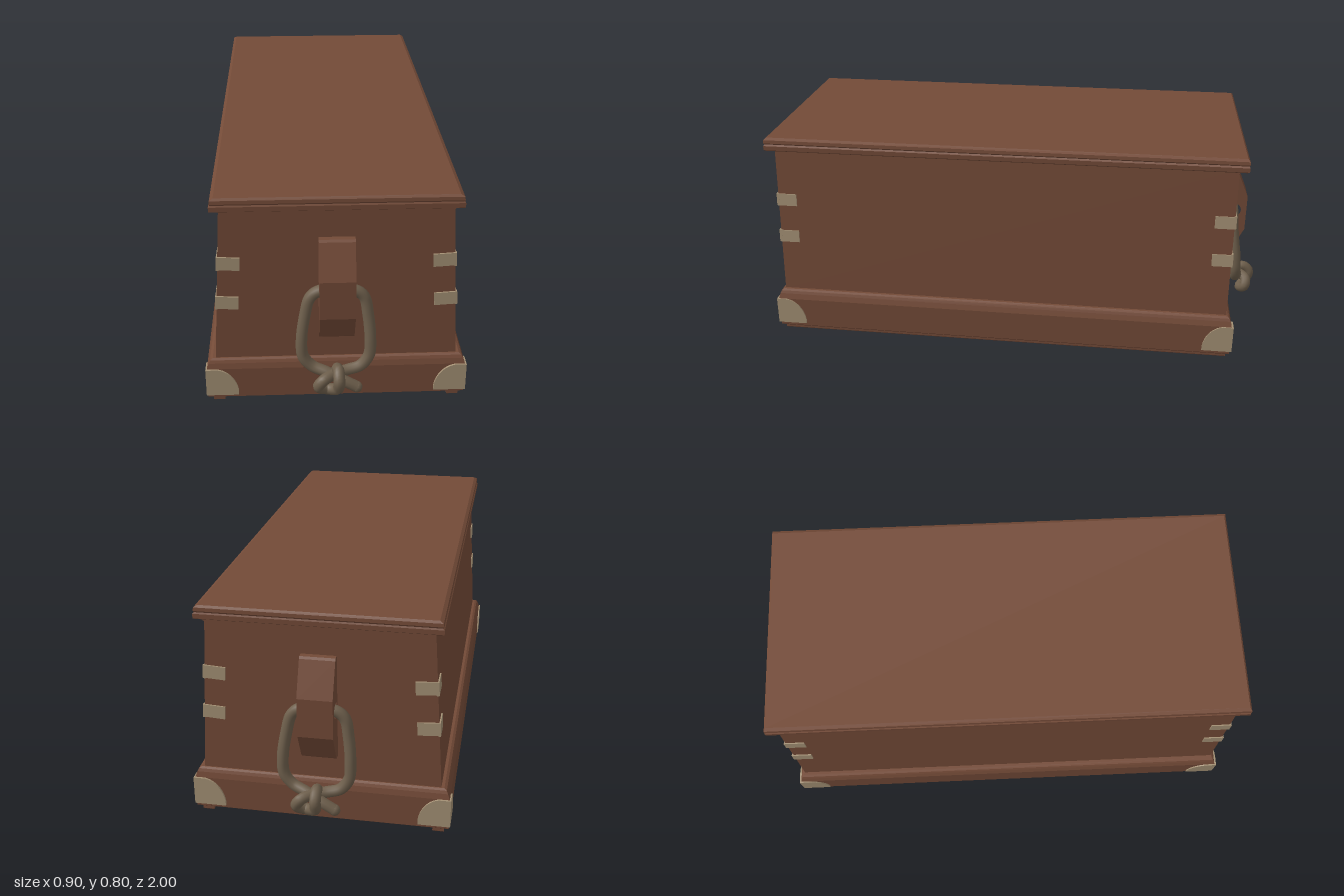
import * as THREE from 'three';

const wood = new THREE.MeshStandardMaterial({ name: 'reddish wood', color: 0x734a37 });
const brass = new THREE.MeshStandardMaterial({ name: 'dull brass', color: 0xa39074 });
const hemp = new THREE.MeshStandardMaterial({ name: 'brown rope', color: 0x6e5f4c });

// Stack of rectangular sections [halfX, y, halfZ], closed at both ends
function loft(sections) {
  const pos = [];
  const rings = sections.map(([x, y, z]) => [[x, y, z], [x, y, -z], [-x, y, -z], [-x, y, z]]);
  const quad = (a, b, c, d) => pos.push(...a, ...b, ...c, ...a, ...c, ...d);
  for (let i = 0; i < rings.length - 1; i++) {
    const lo = rings[i], hi = rings[i + 1];
    for (let k = 0; k < 4; k++) {
      const n = (k + 1) % 4;
      quad(lo[k], lo[n], hi[n], hi[k]);
    }
  }
  const bottom = rings[0], top = rings[rings.length - 1];
  quad(bottom[3], bottom[2], bottom[1], bottom[0]);
  quad(...top);
  const g = new THREE.BufferGeometry();
  g.setAttribute('position', new THREE.Float32BufferAttribute(pos, 3));
  g.computeVertexNormals();
  return g;
}

function add(parent, name, geometry, material, x = 0, y = 0, z = 0) {
  const mesh = new THREE.Mesh(geometry, material);
  mesh.name = name;
  mesh.position.set(x, y, z);
  parent.add(mesh);
  return mesh;
}

function polygon(points) {
  return new THREE.Shape(points.map(([x, y]) => new THREE.Vector2(x, y)));
}

const extrude = (shape, depth) =>
  new THREE.ExtrudeGeometry(shape, { depth, bevelEnabled: false, curveSegments: 10 });

// Rounded quarter plate growing from the corner towards s * x
function cornerPlate(s) {
  const shape = new THREE.Shape();
  shape.moveTo(0, 0);
  shape.lineTo(s * 0.112, 0);
  shape.lineTo(s * 0.112, 0.018);
  shape.bezierCurveTo(s * 0.105, 0.065, s * 0.075, 0.098, s * 0.04, 0.104);
  shape.lineTo(0, 0.104);
  shape.closePath();
  return extrude(shape, 0.009);
}

// Half width of the tapered body at height y
const SLOPE = 0.035 / 0.57;
const halfWidth = (y) => 0.415 - SLOPE * (y - 0.175);

function makeHandle() {
  const handle = new THREE.Group();
  handle.name = 'handle';

  // Wooden bracket with a hole for the rope
  const side = polygon([
    [0.85, 0.637], [0.878, 0.637], [0.885, 0.63], [0.937, 0.51],
    [0.937, 0.37], [0.888, 0.272], [0.88, 0.265], [0.85, 0.265],
  ]);
  const hole = new THREE.Path();
  hole.absarc(0.888, 0.452, 0.028, 0, Math.PI * 2, true);
  side.holes.push(hole);
  add(handle, 'handleBracket', extrude(side, 0.12), wood, 0.06).rotation.y = -Math.PI / 2;

  // Rope loop, tied below in a knot
  const points = [
    [0.065, 0.108, 0.952], [0.015, 0.135, 0.948], [-0.035, 0.155, 0.93], [-0.085, 0.172, 0.915],
    [-0.115, 0.21, 0.912], [-0.12, 0.27, 0.907], [-0.108, 0.36, 0.893], [-0.09, 0.425, 0.886],
    [-0.06, 0.45, 0.886], [0, 0.452, 0.888], [0.06, 0.45, 0.886], [0.09, 0.425, 0.886],
    [0.104, 0.36, 0.893], [0.112, 0.27, 0.907], [0.108, 0.21, 0.912], [0.08, 0.17, 0.915],
    [0.035, 0.155, 0.918], [-0.01, 0.152, 0.935], [-0.05, 0.143, 0.963], [-0.065, 0.117, 0.96],
    [-0.035, 0.098, 0.945], [0, 0.112, 0.966], [0.004, 0.15, 0.98], [0.003, 0.175, 0.955],
    [0, 0.165, 0.925],
  ].map((p) => new THREE.Vector3(...p));
  const curve = new THREE.CatmullRomCurve3(points);
  add(handle, 'ropeLoop', new THREE.TubeGeometry(curve, 180, 0.02, 10, false), hemp);
  for (const p of [points[0], points[points.length - 1]]) {
    add(handle, 'ropeEnd', new THREE.SphereGeometry(0.02, 10, 8), hemp, p.x, p.y, p.z);
  }
  return handle;
}

function makeEnd() {
  const end = new THREE.Group();
  end.add(makeHandle());

  // Shallow triangular board under the lid
  const gable = polygon([[-0.385, 0.75], [-0.375, 0.742], [-0.015, 0.683], [0.02, 0.683], [0.375, 0.742], [0.385, 0.75]]);
  add(end, 'gableBoard', extrude(gable, 0.035), wood, 0, 0, 0.85);

  for (const s of [-1, 1]) {
    // Straps folded around the upright corners
    for (const y of [0.545, 0.396]) {
      const x = halfWidth(y);
      const front = add(end, 'strapEnd', new THREE.BoxGeometry(0.078, 0.047, 0.009), brass, s * (x - 0.034), y, 0.859);
      const flank = add(end, 'strapSide', new THREE.BoxGeometry(0.009, 0.047, 0.077), brass, s * x, y, 0.825);
      front.rotation.z = flank.rotation.z = s * Math.atan(SLOPE);
    }
    // Corner guards on the base
    add(end, 'cornerGuardEnd', cornerPlate(-s), brass, s * 0.451, 0.036, 0.877);
    const guard = add(end, 'cornerGuardSide', cornerPlate(s), brass, s * 0.442, 0.036, 0.886);
    guard.rotation.y = s * Math.PI / 2;
  }
  return end;
}

export function createModel() {
  const chest = new THREE.Group();
  chest.name = 'chest';

  add(chest, 'body', loft([[0.415, 0.17, 0.858], [0.38, 0.748, 0.858]]), wood);
  add(chest, 'base', loft([
    [0.438, 0.018, 0.87], [0.446, 0.025, 0.879], [0.446, 0.14, 0.879],
    [0.439, 0.16, 0.874], [0.434, 0.17, 0.869], [0.425, 0.175, 0.862],
  ]), wood);
  add(chest, 'lid', loft([
    [0.402, 0.745, 0.882], [0.409, 0.75, 0.89], [0.409, 0.766, 0.89], [0.403, 0.771, 0.887],
    [0.407, 0.776, 0.89], [0.405, 0.788, 0.889], [0.393, 0.795, 0.882],
  ]), wood);

  // Long runners under the base
  for (const s of [-1, 1]) {
    add(chest, 'runner', loft([[0.016, 0, 0.862], [0.02, 0.004, 0.866], [0.02, 0.022, 0.866]]), wood, s * 0.409);
  }

  // Matching ends
  for (const [name, angle] of [['frontEnd', 0], ['backEnd', Math.PI]]) {
    const end = makeEnd();
    end.name = name;
    end.rotation.y = angle;
    chest.add(end);
  }
  return chest;
}
